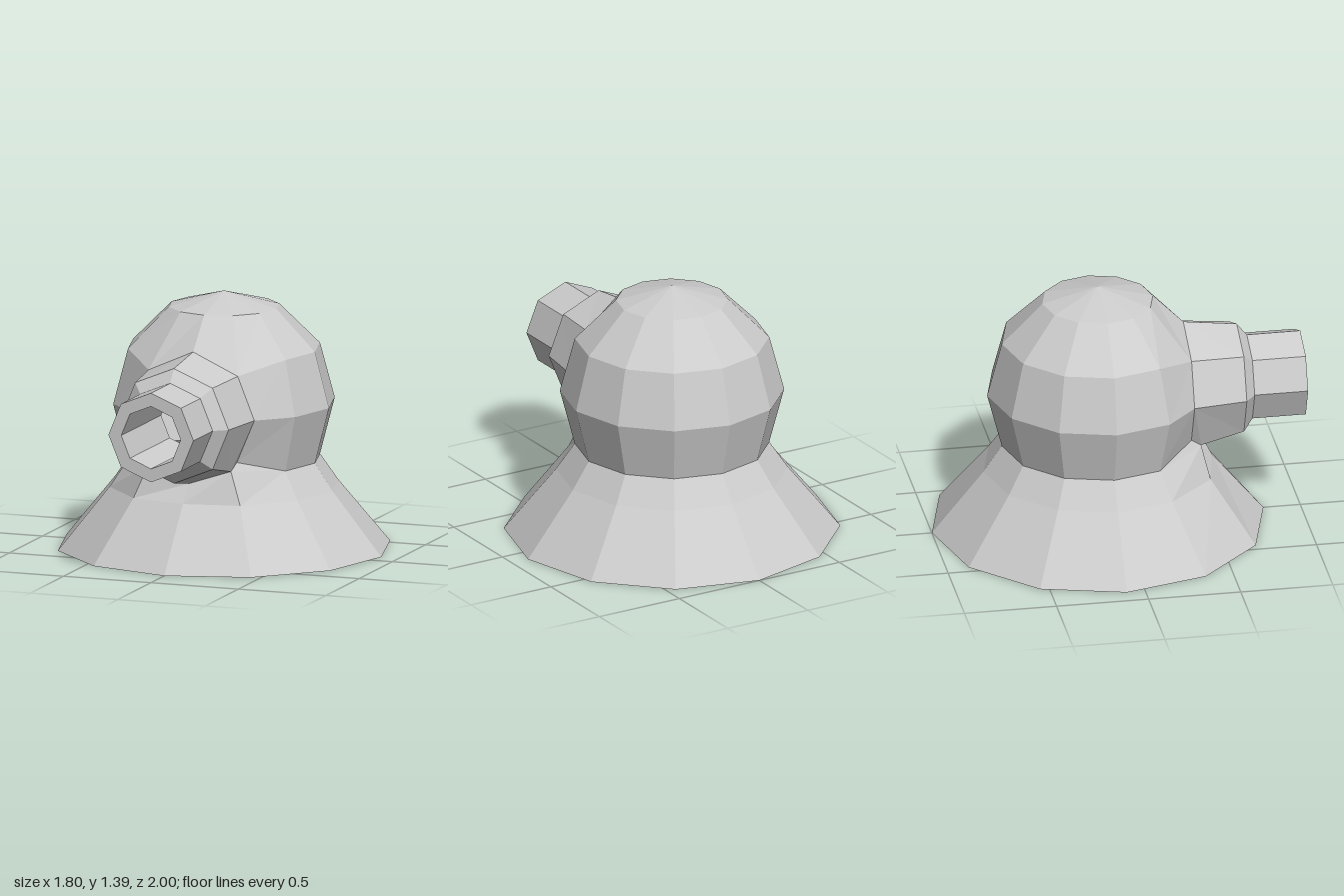
import * as THREE from 'three';

const material = new THREE.MeshStandardMaterial({ color: 0xcccccc, flatShading: true, side: THREE.DoubleSide });

// Skin closed rings of points into one surface, leaving out cells that skip() names
function loft(name, rings, skip = () => false) {
  const n = rings[0].length, index = [];
  for (let i = 0; i < rings.length - 1; i++) {
    for (let k = 0; k < n; k++) {
      if (skip(i, k)) continue;
      const a = i * n + k, b = i * n + (k + 1) % n;
      index.push(a, b, b + n, a, b + n, a + n);
    }
  }
  const geometry = new THREE.BufferGeometry();
  geometry.setAttribute('position', new THREE.Float32BufferAttribute(rings.flat(2), 3));
  geometry.setIndex(index);
  geometry.computeVertexNormals();
  const mesh = new THREE.Mesh(geometry, material);
  mesh.name = name;
  return mesh;
}

// Twelve-sided ring around the body axis, starting at the front
const bodyRing = (r, y) => Array.from({ length: 12 }, (_, k) => {
  const a = k * Math.PI / 6;
  return [r * Math.sin(a), y, r * Math.cos(a) - 0.1];
});

// Eight-sided ring around the barrel axis, starting at the top
const barrelRing = (r, z) => Array.from({ length: 8 }, (_, k) => {
  const a = k * Math.PI / 4;
  return [r * Math.sin(a), 0.79 + r * Math.cos(a), z];
});

const mirrorX = ([x, y, z]) => [-x, y, z];

export function createModel() {
  const group = new THREE.Group();
  group.name = 'domedTurret';

  // Corners of the front opening, shared by the body and the barrel
  const top = [0, 1.14, 0.365];
  const upper = [0.255, 1.025, 0.365];
  const side = [0.35, 0.79, 0.365];
  const lower = [0.25, 0.555, 0.365];
  const skirtCorner = [0.237, 0.515, 0.42];
  const bottom = [0, 0.435, 0.433];

  // Body rings; the neck is doubled so skirt and dome can part at the opening
  const rings = [[0.9, 0], [0.62, 0.34], [0.52, 0.485], [0.52, 0.485],
    [0.6, 0.79], [0.52, 1.09], [0.3, 1.31], [0, 1.39]].map(([r, y]) => bodyRing(r, y));
  [[1, [0.305, 0.34, 0.46]], [2, skirtCorner], [3, lower], [4, side], [5, upper]].forEach(([i, p]) => {
    rings[i][1] = p;
    rings[i][11] = mirrorX(p);
  });
  rings[2][0] = rings[3][0] = bottom;
  rings[5][0] = top;

  // Flared skirt, open underneath, and dome with its front opening
  const opening = (i, k) => (k === 0 || k === 11) && i < 3;
  group.add(loft('skirt', rings.slice(0, 4), (i, k) => i === 2 && opening(0, k)));
  group.add(loft('dome', rings.slice(3), (i, k) => i < 2 && opening(i, k)));

  // Hollow barrel: bore, muzzle face, tube, chamfer, collar, root
  const root = (corner) => [top, upper, side, corner, bottom,
    mirrorX(corner), mirrorX(side), mirrorX(upper)];
  group.add(loft('barrel', [
    barrelRing(0.17, 0.4), barrelRing(0.17, 1), barrelRing(0.243, 1),
    barrelRing(0.243, 0.71), barrelRing(0.313, 0.655),
    root(skirtCorner), root(lower),
  ], (i, k) => i === 5 && (k === 3 || k === 4)));

  return group;
}
